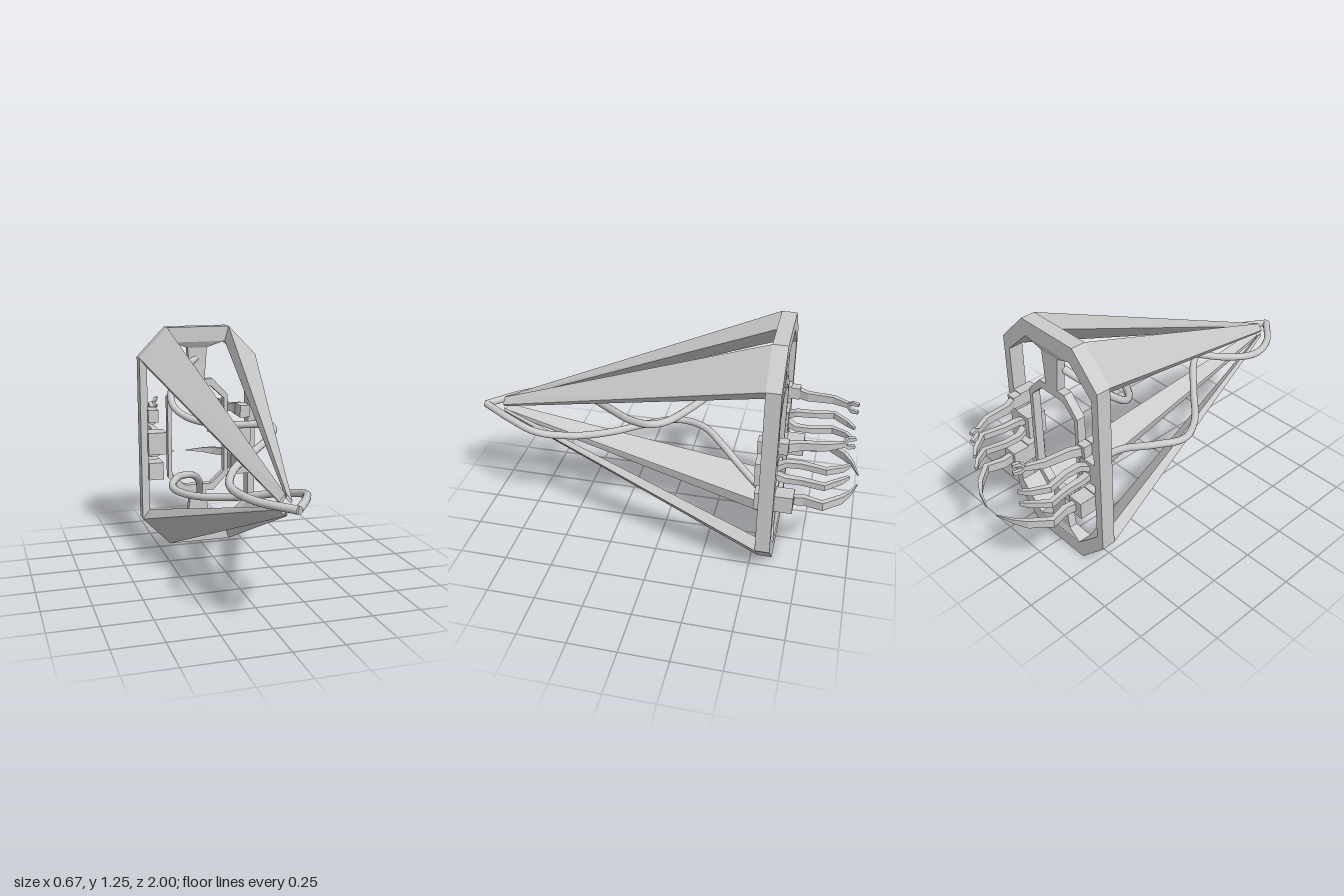
import * as THREE from 'three';
import { ConvexGeometry } from 'three/addons/geometries/ConvexGeometry.js';

const MID = 0.6275; // height of the central axis
const V = (x, y, z) => new THREE.Vector3(x, y, z);
const flat = new THREE.MeshStandardMaterial({ color: 0xcccccc, flatShading: true });
const smooth = new THREE.MeshStandardMaterial({ color: 0xcccccc });

function add(parent, name, geometry, material = flat) {
  const mesh = new THREE.Mesh(geometry, material);
  mesh.name = name;
  parent.add(mesh);
  return mesh;
}

function hull(parent, name, points) {
  add(parent, name, new ConvexGeometry(points));
}

function block(parent, name, x0, x1, y0, y1, z0, z1) {
  const mesh = add(parent, name, new THREE.BoxGeometry(Math.abs(x1 - x0), y1 - y0, Math.abs(z1 - z0)));
  mesh.position.set((x0 + x1) / 2, (y0 + y1) / 2, (z0 + z1) / 2);
}

// Counter-clockwise octagon from two corners: (ax, ay) on the end, (bx, by) on the side
function octagon(PathType, ax, ay, bx, by) {
  const half = [[-ax, ay], [-bx, by], [-bx, -by], [-ax, -ay]];
  const pts = [...half, ...half.map(([x, y]) => [-x, -y])];
  return new PathType(pts.map(([x, y]) => new THREE.Vector2(x, MID + y)));
}

function ring(parent, name, outer, inner, zBack, depth) {
  const shape = octagon(THREE.Shape, ...outer);
  shape.holes.push(octagon(THREE.Path, ...inner));
  const mesh = add(parent, name, new THREE.ExtrudeGeometry(shape, { depth, bevelEnabled: false }));
  mesh.position.z = zBack;
}

// Jointed limb: rows are [x, y, z, width, height], sections turn with the path in plan
function limb(parent, name, s, rows) {
  const sections = rows.map(([x, y, z, w, h], i) => {
    const p = rows[Math.max(i - 1, 0)], n = rows[Math.min(i + 1, rows.length - 1)];
    const side = V(-(n[2] - p[2]), 0, n[0] - p[0]).normalize().multiplyScalar(w / 2);
    const corners = [];
    for (const a of [-1, 1]) for (const b of [-1, 1]) {
      corners.push(V(s * (x + a * side.x), y + b * h / 2, z + a * side.z));
    }
    return corners;
  });
  for (let i = 1; i < sections.length; i++) {
    hull(parent, name + 'Segment' + i, [...sections[i - 1], ...sections[i]]);
  }
}

export function createModel() {
  const model = new THREE.Group();
  model.name = 'spacecraftFrame';

  // Rear octagonal frame and the smaller ring hung inside it
  ring(model, 'rearFrame', [0.177, 0.6265, 0.336, 0.4635], [0.154, 0.543, 0.295, 0.408], -0.61, 0.075);
  ring(model, 'innerRing', [0.09, 0.328, 0.177, 0.235], [0.078, 0.287, 0.155, 0.215], -0.6, 0.045);

  for (const t of [-1, 1]) {
    // Sloped foot and tapered pylon between frame and inner ring
    const foot = [], pylon = [];
    const neck = t > 0 ? 0.056 : 0.07;
    for (const s of [-1, 1]) {
      for (const z of [-0.535, -0.61]) foot.push(V(s * 0.154, MID + t * 0.545, z));
      for (const z of [-0.557, -0.6]) {
        foot.push(V(s * neck, MID + t * 0.508, z));
        pylon.push(V(s * neck, MID + t * 0.508, z), V(s * 0.041, MID + t * 0.325, z));
      }
    }
    hull(model, 'pylonFoot', foot);
    hull(model, 'pylon', pylon);

    // Tapered struts running forward to the nose
    for (const s of [-1, 1]) {
      const rear = [[0.177, 0.6265], [0.336, 0.4635], [0.295, 0.408], [0.154, 0.543]];
      const nose = [[0.003, 0.05], [0.03, 0.018], [0.023, 0.004], [0.001, 0.03]];
      hull(model, 'noseStrut', [
        ...rear.map(([x, y]) => V(s * x, MID + t * y, -0.535)),
        ...nose.map(([x, y]) => V(s * x, MID + t * y, 0.885)),
      ]);
    }
  }

  // Two cables winding from the pylons to the nose
  const cables = {
    upperCable: [[0, 1.08, -0.575], [-0.1, 1.015, -0.515], [-0.185, 0.925, -0.42], [-0.195, 0.85, -0.33],
      [-0.12, 0.795, -0.23], [0.05, 0.775, -0.13], [0.2, 0.783, -0.05], [0.245, 0.783, 0.02],
      [0.2, 0.762, 0.13], [0.05, 0.725, 0.3], [-0.11, 0.685, 0.48], [-0.172, 0.657, 0.65],
      [-0.12, 0.64, 0.82], [0.02, 0.632, 0.985]],
    lowerCable: [[0, 0.262, -0.56], [-0.015, 0.335, -0.47], [-0.05, 0.42, -0.37], [-0.11, 0.475, -0.28],
      [-0.22, 0.5, -0.16], [-0.28, 0.488, 0], [-0.21, 0.483, 0.15], [-0.04, 0.51, 0.32],
      [0.11, 0.56, 0.48], [0.175, 0.6, 0.65], [0.12, 0.627, 0.82], [0.02, 0.632, 0.985]],
  };
  for (const [name, pts] of Object.entries(cables)) {
    const curve = new THREE.CatmullRomCurve3(pts.map((p) => V(...p)));
    add(model, name, new THREE.TubeGeometry(curve, 120, 0.019, 12), smooth);
    // End caps
    for (const u of [0, 1]) {
      const cap = add(model, name + 'Cap', new THREE.CircleGeometry(0.019, 12));
      const p = curve.getPointAt(u), dir = curve.getTangentAt(u).multiplyScalar(u ? 1 : -1);
      cap.position.copy(p);
      cap.lookAt(p.clone().add(dir));
    }
  }

  // Three tool arms on each side rail
  for (const s of [-1, 1]) {
    const arms = new THREE.Group();
    arms.name = s > 0 ? 'leftArms' : 'rightArms';
    model.add(arms);

    // Upper arm with an open-jawed wrench
    block(arms, 'upperMount', s * 0.24, s * 0.298, 0.73, 0.8, -0.51, -0.61);
    block(arms, 'upperSocket', s * 0.237, s * 0.285, 0.732, 0.796, -0.61, -0.655);
    limb(arms, 'upperArm', s, [[0.255, 0.762, -0.65, 0.03, 0.048], [0.232, 0.762, -0.7, 0.028, 0.045],
      [0.218, 0.768, -0.83, 0.026, 0.038], [0.18, 0.768, -0.91, 0.02, 0.026]]);
    for (const t of [-1, 1]) {
      limb(arms, 'wrenchJaw', s, [[0.183, 0.768, -0.9, 0.018, 0.02], [0.167, 0.768 + t * 0.022, -0.925, 0.018, 0.02],
        [0.155, 0.768 + t * 0.022, -0.958, 0.018, 0.014]]);
    }

    // Middle arm with a two-fingered gripper
    block(arms, 'middleMount', s * 0.197, s * 0.3, 0.545, 0.67, -0.505, -0.61);
    for (const t of [-1, 1]) {
      limb(arms, 'gripperFinger', s, [[0.245, 0.607 + t * 0.025, -0.605, 0.04, 0.035],
        [0.235, 0.607 + t * 0.046, -0.65, 0.035, 0.03], [0.235, 0.607 + t * 0.048, -0.73, 0.03, 0.03],
        [0.258, 0.607 + t * 0.046, -0.84, 0.026, 0.032], [0.207, 0.607 + t * 0.036, -0.915, 0.02, 0.03],
        [0.167, 0.607 + t * 0.036, -0.95, 0.014, 0.016]]);
    }

    // Lower arm ending in a needle
    block(arms, 'lowerMount', s * 0.215, s * 0.298, 0.398, 0.496, -0.51, -0.61);
    block(arms, 'lowerSocket', s * 0.212, s * 0.295, 0.398, 0.49, -0.61, -0.7);
    limb(arms, 'lowerArm', s, [[0.245, 0.45, -0.7, 0.03, 0.046], [0.238, 0.45, -0.75, 0.03, 0.046],
      [0.262, 0.45, -0.84, 0.028, 0.044], [0.19, 0.448, -0.925, 0.024, 0.042],
      [0.13, 0.447, -0.965, 0.014, 0.025], [0.038, 0.442, -0.999, 0.004, 0.004]]);
  }

  return model;
}
